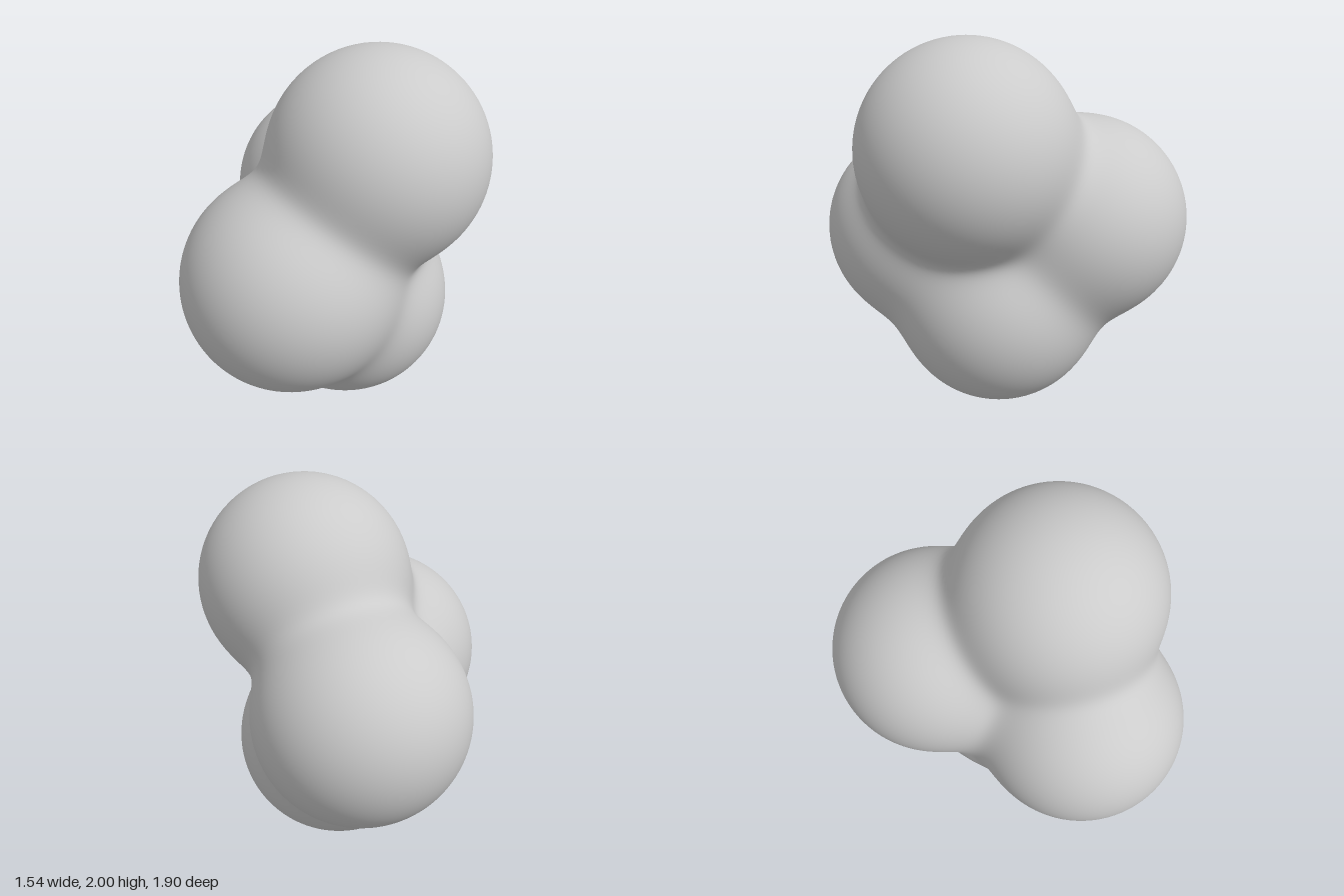
import * as THREE from 'three';

// Four equal balls that melt into one another
const RADIUS = 0.55;
const BLEND = 0.06;
const BALLS = [
  new THREE.Vector3(0.22, 1.45, 0.22), // top
  new THREE.Vector3(-0.22, 0.87, 0.4), // front
  new THREE.Vector3(0.06, 0.99, -0.4), // back
  new THREE.Vector3(0.085, 0.55, 0.05), // bottom
];

// Smooth union of the balls: negative inside; also returns its normal
function field(p, normal) {
  let sum = 0;
  if (normal) normal.set(0, 0, 0);
  for (const c of BALLS) {
    const w = Math.exp(-(p.distanceTo(c) - RADIUS) / BLEND);
    sum += w;
    if (normal) normal.addScaledVector(p.clone().sub(c).normalize(), w);
  }
  if (normal) normal.normalize();
  return -BLEND * Math.log(sum);
}

export function createModel() {
  const group = new THREE.Group();
  group.name = 'blendedBalls';

  // The centroid lies inside every ball, so each ray leaves the surface once
  const centre = new THREE.Vector3();
  BALLS.forEach((c) => centre.addScaledVector(c, 1 / BALLS.length));

  const geometry = new THREE.IcosahedronGeometry(1, 30);
  const pos = geometry.attributes.position;
  const nor = geometry.attributes.normal;
  const dir = new THREE.Vector3();
  const p = new THREE.Vector3();
  const n = new THREE.Vector3();
  for (let i = 0; i < pos.count; i++) {
    dir.fromBufferAttribute(pos, i).normalize();
    let near = 0;
    let far = 2;
    for (let k = 0; k < 24; k++) {
      const mid = (near + far) / 2;
      p.copy(centre).addScaledVector(dir, mid);
      if (field(p) < 0) near = mid;
      else far = mid;
    }
    p.copy(centre).addScaledVector(dir, near);
    field(p, n);
    pos.setXYZ(i, p.x, p.y, p.z);
    nor.setXYZ(i, n.x, n.y, n.z);
  }

  const blob = new THREE.Mesh(geometry, new THREE.MeshStandardMaterial({ color: 0xcccccc }));
  blob.name = 'blob';
  group.add(blob);
  return group;
}
